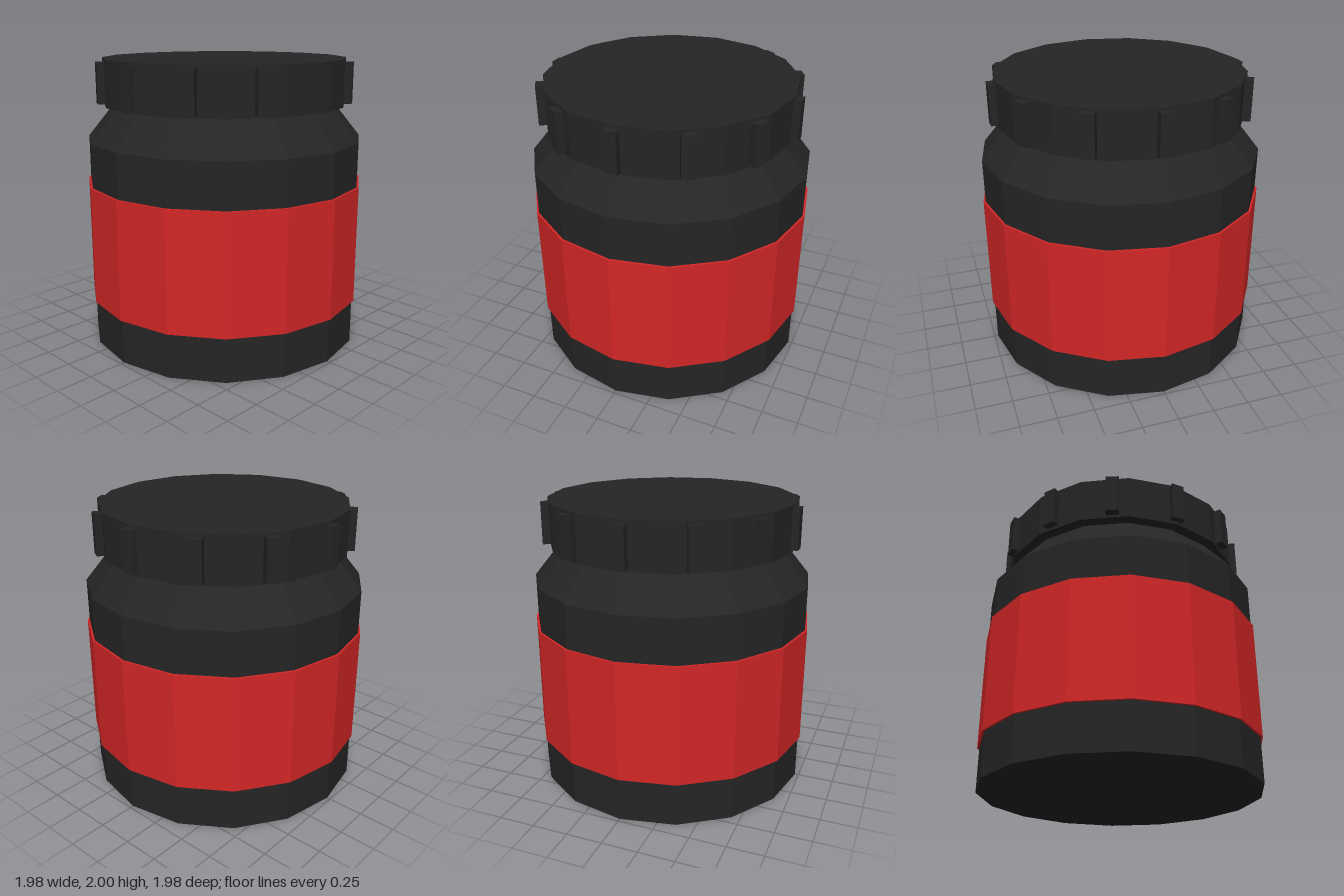
import * as THREE from 'three';

const SIDES = 16;
const RIBS = 12;

export function createModel() {
  const black = new THREE.MeshStandardMaterial({ color: 0x252525, flatShading: true });
  black.name = 'black plastic';
  const red = new THREE.MeshStandardMaterial({ color: 0xd32626, flatShading: true });
  red.name = 'red label';

  const model = new THREE.Group();
  model.name = 'jar';

  // Turned part from [radius, height] points, listed from the bottom up
  const turned = (name, profile, material, parent) => {
    const points = profile.map(([r, y]) => new THREE.Vector2(r, y));
    const mesh = new THREE.Mesh(new THREE.LatheGeometry(points, SIDES), material);
    mesh.name = name;
    parent.add(mesh);
  };

  // Body with sloping shoulder, running up into the lid
  turned('body', [[0, 0], [0.975, 0], [0.975, 1.445], [0.785, 1.68], [0.785, 1.72], [0, 1.72]], black, model);

  // Label band wrapped around the body
  turned('labelBand', [[0.97, 0.31], [0.99, 0.31], [0.99, 1.14], [0.97, 1.14]], red, model);

  // Screw lid with grip ribs
  const lid = new THREE.Group();
  lid.name = 'lid';
  model.add(lid);
  turned('lidCap', [[0, 1.68], [0.86, 1.68], [0.86, 2], [0, 2]], black, lid);

  const ribGeometry = new THREE.BoxGeometry(0.09, 0.28, 0.09).translate(0, 1.84, 0.855);
  for (let i = 0; i < RIBS; i++) {
    const rib = new THREE.Mesh(ribGeometry, black);
    rib.name = `gripRib${i + 1}`;
    rib.rotation.y = (i / RIBS) * Math.PI * 2;
    lid.add(rib);
  }

  return model;
}
